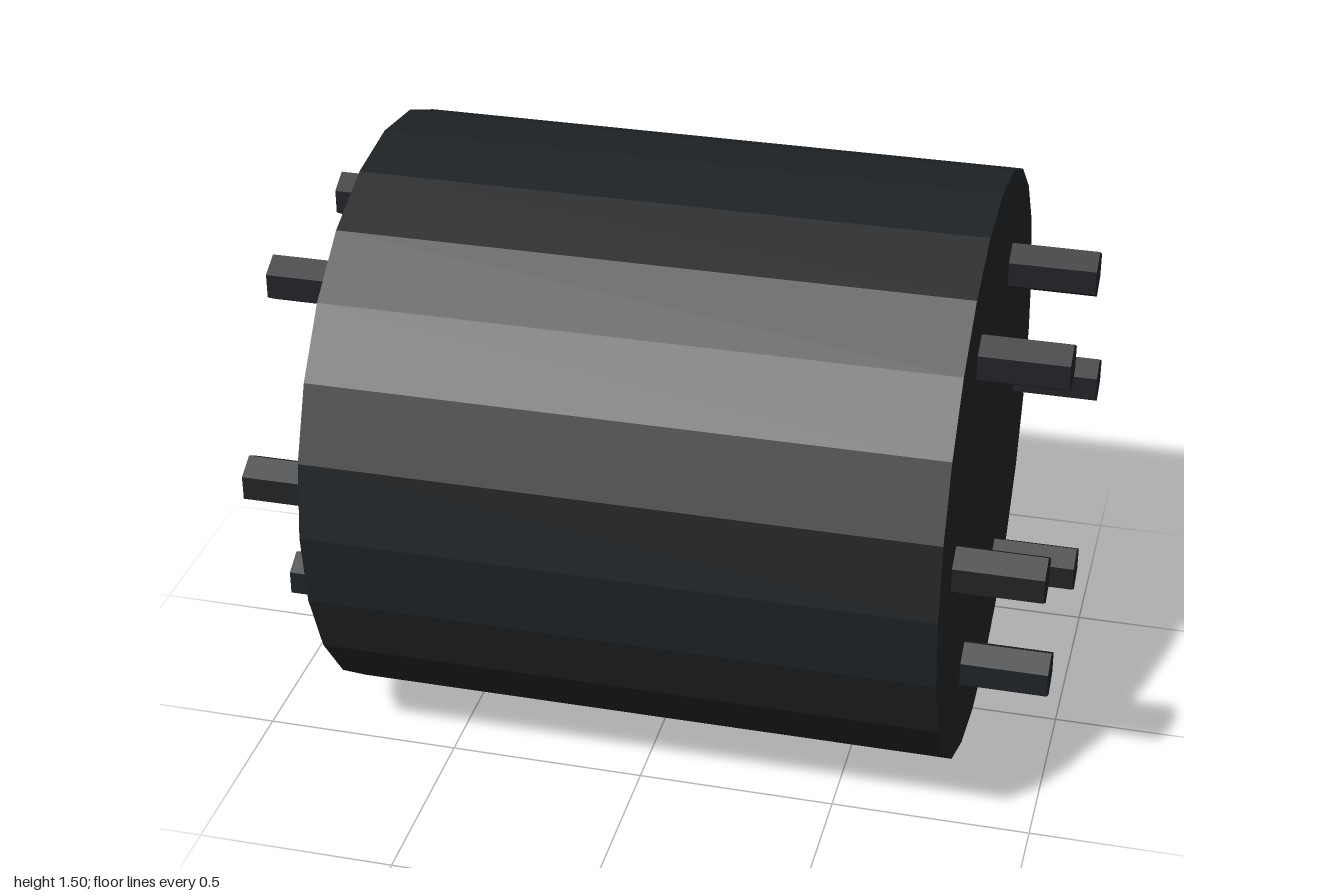
import * as THREE from 'three';

const CENTER_Y = 0.75;

// Faceted bar lying along the x axis
function bar(name, radius, length, sides, thetaStart, material) {
  const geometry = new THREE.CylinderGeometry(radius, radius, length, sides, 1, false, thetaStart);
  geometry.rotateZ(Math.PI / 2);
  const mesh = new THREE.Mesh(geometry, material);
  mesh.name = name;
  return mesh;
}

export function createModel() {
  const group = new THREE.Group();
  group.name = 'drumWithRods';
  const material = new THREE.MeshStandardMaterial({ color: 0x1f2225, flatShading: true });

  // Main drum
  const drum = bar('drum', 0.75, 1.56, 24, 0, material);
  drum.position.y = CENTER_Y;
  group.add(drum);

  // Ring of six hexagonal rods running through the drum, projecting at both ends
  const rods = new THREE.Group();
  rods.name = 'rods';
  for (let i = 0; i < 6; i++) {
    const angle = (i * Math.PI) / 3;
    const rod = bar('rod', 0.0625, 2, 6, Math.PI / 6, material);
    rod.position.set(0, CENTER_Y + 0.505 * Math.sin(angle), 0.505 * Math.cos(angle));
    rods.add(rod);
  }
  group.add(rods);

  return group;
}
